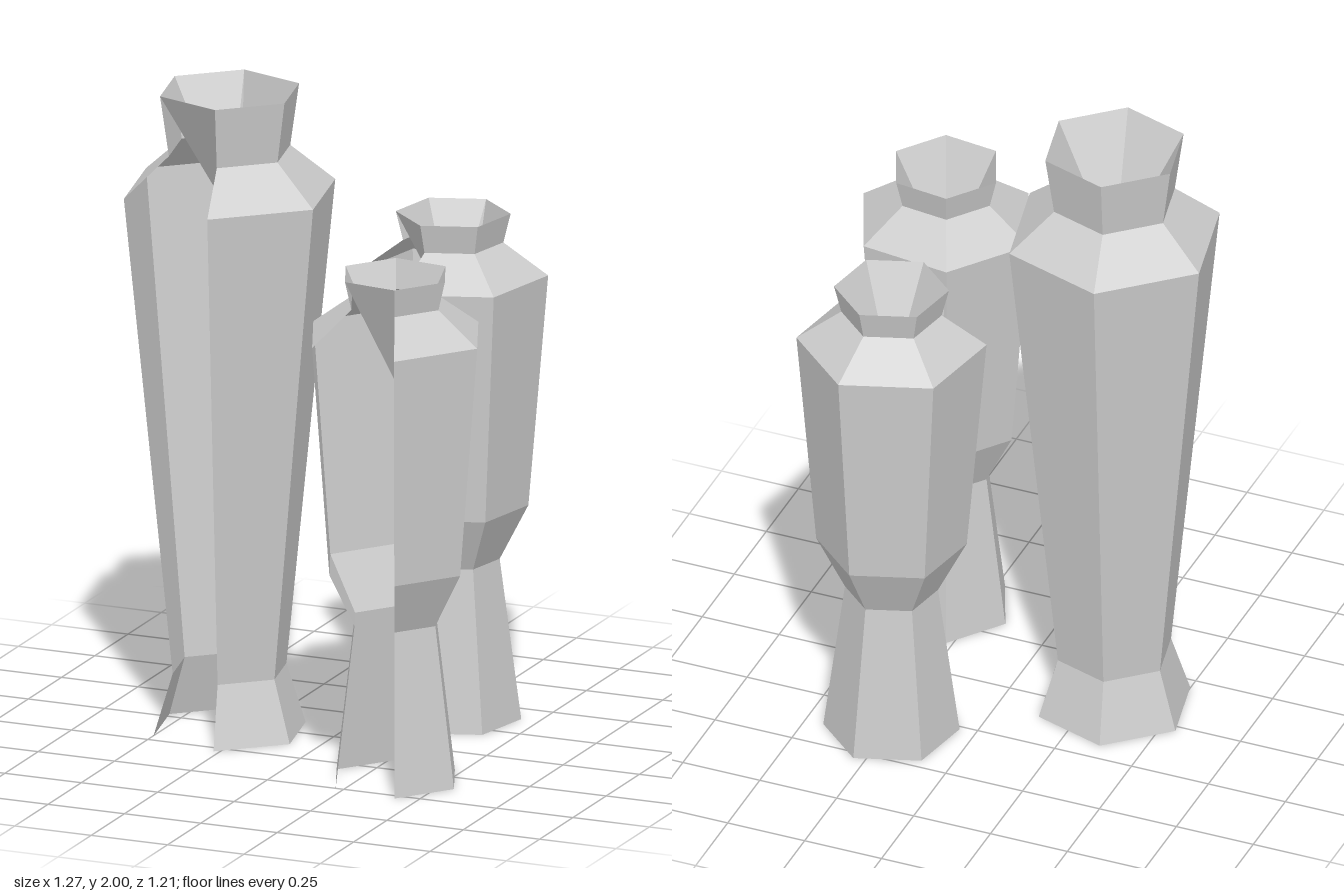
import * as THREE from 'three';

const rad = THREE.MathUtils.degToRad;
const SWEEP = rad(300); // five of the six sides

// Outer profiles [radius, height], foot to rim
const tallProfile = [[0.241, 0], [0.18, 0.19], [0.3345, 1.69], [0.192, 1.81], [0.22, 2]];
const shortProfile = [[0.205, 0], [0.14, 0.5], [0.2265, 0.67], [0.286, 1.39], [0.151, 1.49], [0.173, 1.58]];

// Hexagonal vase: angle is where the open side starts, measured from +x towards +z
function makeVase(name, material, profile, apexY, x, z, angle) {
  const vase = new THREE.Group();
  vase.name = name;
  vase.position.set(x, 0, z);

  // Faceted wall with one side left open
  const points = profile.map(([r, y]) => new THREE.Vector2(r, y));
  const wall = new THREE.Mesh(new THREE.LatheGeometry(points, 5, rad(90 - angle), SWEEP), material);
  wall.name = 'vaseWall';

  // Funnel hanging from the rim, open on the opposite side
  const [rimR, rimY] = profile[profile.length - 1];
  const depth = rimY - apexY;
  const funnel = new THREE.Mesh(
    new THREE.CylinderGeometry(rimR, 0, depth, 5, 1, true, rad(-90 - angle), SWEEP), material);
  funnel.name = 'rimFunnel';
  funnel.position.y = apexY + depth / 2;

  vase.add(wall, funnel);
  return vase;
}

export function createModel() {
  const clay = new THREE.MeshStandardMaterial({ color: 0xcccccc, flatShading: true, side: THREE.DoubleSide });
  clay.name = 'pale grey clay';

  const model = new THREE.Group();
  model.name = 'vaseSet';
  model.add(
    makeVase('tallVase', clay, tallProfile, 1.615, -0.319, 0.051, 78),
    makeVase('backVase', clay, shortProfile, 1.245, 0.247, -0.33, 101.3),
    makeVase('frontVase', clay, shortProfile, 1.245, 0.349, 0.34, 67.2),
  );
  return model;
}
